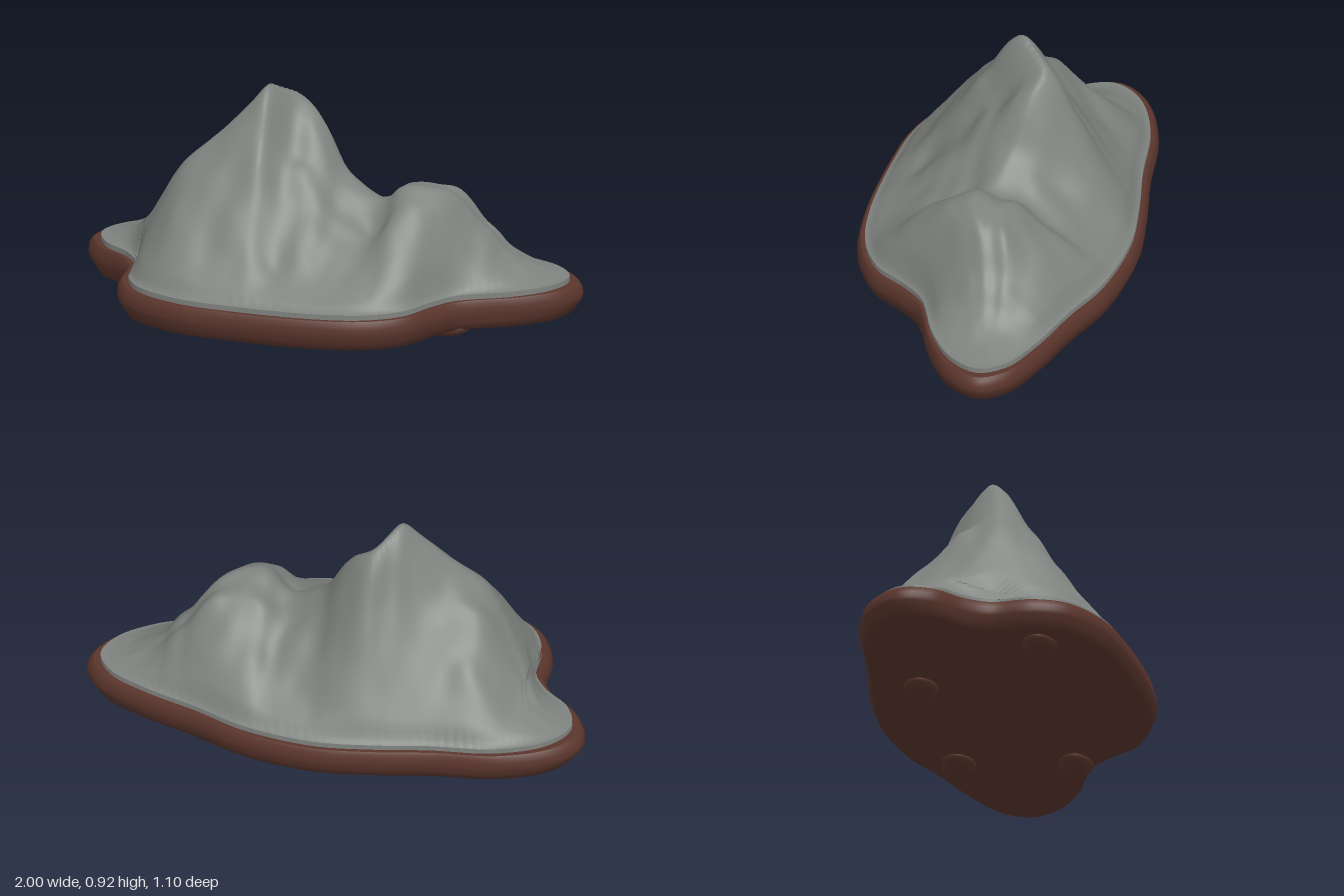
import * as THREE from 'three';

// Plan outline of the base as [x, z], counter-clockwise seen from above
const PLAN = [
  [1, -0.12], [0.94, -0.23], [0.78, -0.32], [0.54, -0.41], [0.33, -0.5], [0.03, -0.55], [-0.21, -0.53],
  [-0.45, -0.49], [-0.72, -0.46], [-0.92, -0.37], [-1, -0.25], [-0.96, -0.12], [-0.85, -0.02],
  [-0.79, 0.08], [-0.785, 0.24], [-0.72, 0.375], [-0.53, 0.485], [-0.29, 0.53], [0.06, 0.55],
  [0.27, 0.52], [0.42, 0.435], [0.51, 0.3], [0.59, 0.21], [0.81, 0.11], [0.95, 0],
];
// Height of the ridge line along x
const RIDGE = [
  [-0.95, 0.18], [-0.88, 0.195], [-0.8, 0.24], [-0.72, 0.33], [-0.65, 0.45], [-0.6, 0.54], [-0.55, 0.61],
  [-0.45, 0.7], [-0.4, 0.745], [-0.3, 0.85], [-0.25, 0.91], [-0.23, 0.92], [-0.2, 0.9], [-0.15, 0.86],
  [-0.07, 0.8], [-0.03, 0.75], [0, 0.7], [0.05, 0.6], [0.1, 0.55], [0.2, 0.49], [0.25, 0.5], [0.3, 0.55],
  [0.36, 0.565], [0.45, 0.55], [0.5, 0.525], [0.55, 0.47], [0.6, 0.4], [0.65, 0.35], [0.7, 0.285],
  [0.8, 0.215], [0.9, 0.185], [0.95, 0.18],
];
// Position of the ridge line in z along x
const RIDGE_Z = [
  [-0.95, -0.25], [-0.8, -0.17], [-0.7, -0.02], [-0.58, 0.05], [-0.42, 0.03], [-0.23, -0.03], [-0.14, -0.13],
  [-0.04, -0.1], [0.12, -0.03], [0.36, 0.04], [0.6, -0.06], [0.95, -0.12],
];
// Slope sections, back edge (-1) to front edge (1): sharp main peak and broad side lobes
const SHARP = [
  [-1, 0], [-0.86, 0.14], [-0.73, 0.27], [-0.59, 0.42], [-0.46, 0.56], [-0.32, 0.71], [-0.19, 0.87], [-0.09, 0.96],
  [0, 1], [0.1, 0.94], [0.16, 0.87], [0.25, 0.75], [0.35, 0.65], [0.44, 0.53],
  [0.54, 0.42], [0.63, 0.31], [0.72, 0.21], [0.82, 0.13], [0.91, 0.065], [1, 0],
];
const BROAD = [
  [-1, 0], [-0.92, 0.17], [-0.71, 0.48], [-0.5, 0.7], [-0.36, 0.86], [-0.28, 0.93], [-0.15, 0.95], [0, 1],
  [0.18, 0.91], [0.4, 0.73], [0.62, 0.49], [0.8, 0.26], [1, 0],
];
const LOBES = [[-0.95, 0.8], [-0.6, 0.9], [-0.4, 0.3], [-0.2, 0], [0.05, 0.1], [0.35, 1], [0.95, 1]];

const { clamp, smoothstep, lerp } = THREE.MathUtils;

// Smooth curve through a table of [position, value]
function sample(table, x) {
  const last = table.length - 1;
  x = clamp(x, table[0][0], table[last][0]);
  let i = 0;
  while (i < last - 1 && x > table[i + 1][0]) i++;
  const slope = (k) => {
    const a = table[Math.max(k - 1, 0)], b = table[Math.min(k + 1, last)];
    return (b[1] - a[1]) / (b[0] - a[0]);
  };
  const [x0, y0] = table[i], [x1, y1] = table[i + 1];
  const d = x1 - x0, t = (x - x0) / d, s = 1 - t;
  return y0 * (1 + 2 * t) * s * s + y1 * (3 - 2 * t) * t * t + d * t * s * (slope(i) * s - slope(i + 1) * t);
}

const outline = new THREE.CatmullRomCurve3(PLAN.map(([x, z]) => new THREE.Vector3(x, 0, z)), true).getPoints(180).slice(0, -1);

function buildGeometry(positions, indices) {
  const geometry = new THREE.BufferGeometry();
  geometry.setAttribute('position', new THREE.Float32BufferAttribute(positions, 3));
  geometry.setIndex(indices);
  geometry.computeVertexNormals();
  return geometry;
}

// Stack of scaled outlines, each ring given as [scale, y]; a repeated ring makes a sharp edge
function stackOutline(rings) {
  const positions = [], indices = [], n = outline.length;
  rings.forEach(([s, y], j) => {
    for (const p of outline) positions.push(p.x * s, y, p.z * s);
    if (j === rings.length - 1) return;
    if (s === rings[j + 1][0] && y === rings[j + 1][1]) return;
    for (let i = 0; i < n; i++) {
      const a = j * n + i, b = j * n + (i + 1) % n;
      indices.push(a, b, b + n, a, b + n, a + n);
    }
  });
  return buildGeometry(positions, indices);
}

// Rock surface: columns across x, each running from the back edge to the front edge
function rockSurface() {
  const edge = outline.map((p) => p.clone().multiplyScalar(0.947));
  const xs = edge.map((p) => p.x), minX = Math.min(...xs), maxX = Math.max(...xs);
  const cols = 170, rows = 90, positions = [], indices = [];

  const span = (x) => {
    const hits = [];
    edge.forEach((p, i) => {
      const q = edge[(i + 1) % edge.length];
      if ((p.x <= x) !== (q.x <= x)) hits.push(lerp(p.z, q.z, (x - p.x) / (q.x - p.x)));
    });
    return [Math.min(...hits), Math.max(...hits)];
  };

  const height = (x, z, lo, hi) => {
    const ridge = clamp(sample(RIDGE_Z, x), lerp(lo, hi, 0.3), lerp(lo, hi, 0.7));
    const u = z > ridge ? (z - ridge) / (hi - ridge) : (z - ridge) / (ridge - lo);
    const section = lerp(sample(SHARP, u), sample(BROAD, u), sample(LOBES, x));
    let near = Infinity;
    for (const p of edge) near = Math.min(near, Math.hypot(p.x - x, p.z - z));
    const rim = Math.sin(Math.min(1, near / 0.05) * Math.PI / 2);
    // Weathered runnels, and a short gully in front of the saddle
    const wear = 0.009 * Math.sin(21 * x + 5 * Math.sin(6 * z)) * Math.sin(13 * z + 3 * x + 1)
      + 0.005 * Math.sin(37 * x - 9 * z) * Math.sin(25 * z + 8 * x);
    const gully = 0.04 * Math.exp(-(((x - 0.2) / 0.09) ** 2) - ((z - 0.1) / 0.1) ** 2);
    const fade = smoothstep(near, 0.03, 0.2) * smoothstep(Math.abs(u), 0, 0.3);
    return 0.18 + (sample(RIDGE, x) - 0.18) * section * rim + (wear - gully) * fade;
  };

  for (let i = 0; i <= cols; i++) {
    const t = i / cols, ease = lerp(t, (1 - Math.cos(Math.PI * t)) / 2, 0.6);
    const x = clamp(lerp(minX, maxX, ease), minX + 0.0005, maxX - 0.0005);
    const [lo, hi] = span(x);
    for (let j = 0; j <= rows; j++) {
      const z = lerp(lo, hi, j / rows);
      positions.push(x, height(x, z, lo, hi), z);
      if (i === cols || j === rows) continue;
      const a = i * (rows + 1) + j, c = a + rows + 1;
      indices.push(a, a + 1, c + 1, a, c + 1, c);
    }
  }
  return buildGeometry(positions, indices);
}

export function createModel() {
  const model = new THREE.Group();
  model.name = 'mountainRockOnStand';
  const stone = new THREE.MeshStandardMaterial({ color: 0x7f837f });
  stone.name = 'greyStone';
  const wood = new THREE.MeshStandardMaterial({ color: 0x5a352c });
  wood.name = 'darkWood';

  const add = (name, geometry, material) => {
    const mesh = new THREE.Mesh(geometry, material);
    mesh.name = name;
    model.add(mesh);
    return mesh;
  };

  add('rock', rockSurface(), stone);
  add('rockRim', stackOutline([[0.947, 0.15], [0.947, 0.181]]), stone);

  // Wooden stand with a rounded side and flat top and bottom
  add('stand', stackOutline([
    [0, 0.04], [0.96, 0.04], [0.982, 0.07], [0.998, 0.095], [1, 0.11], [0.998, 0.13],
    [0.988, 0.15], [0.975, 0.16], [0.975, 0.16], [0, 0.16],
  ]), wood);

  // Flattened feet under the stand
  const footShape = new THREE.SphereGeometry(1, 32, 20);
  for (const [x, z] of [[0.42, -0.3], [0.51, 0.15], [-0.3, -0.3], [-0.6, 0.235]]) {
    const foot = add('foot', footShape, wood);
    foot.position.set(x, 0.04, z);
    foot.scale.set(0.097, 0.04, 0.068);
  }
  return model;
}
